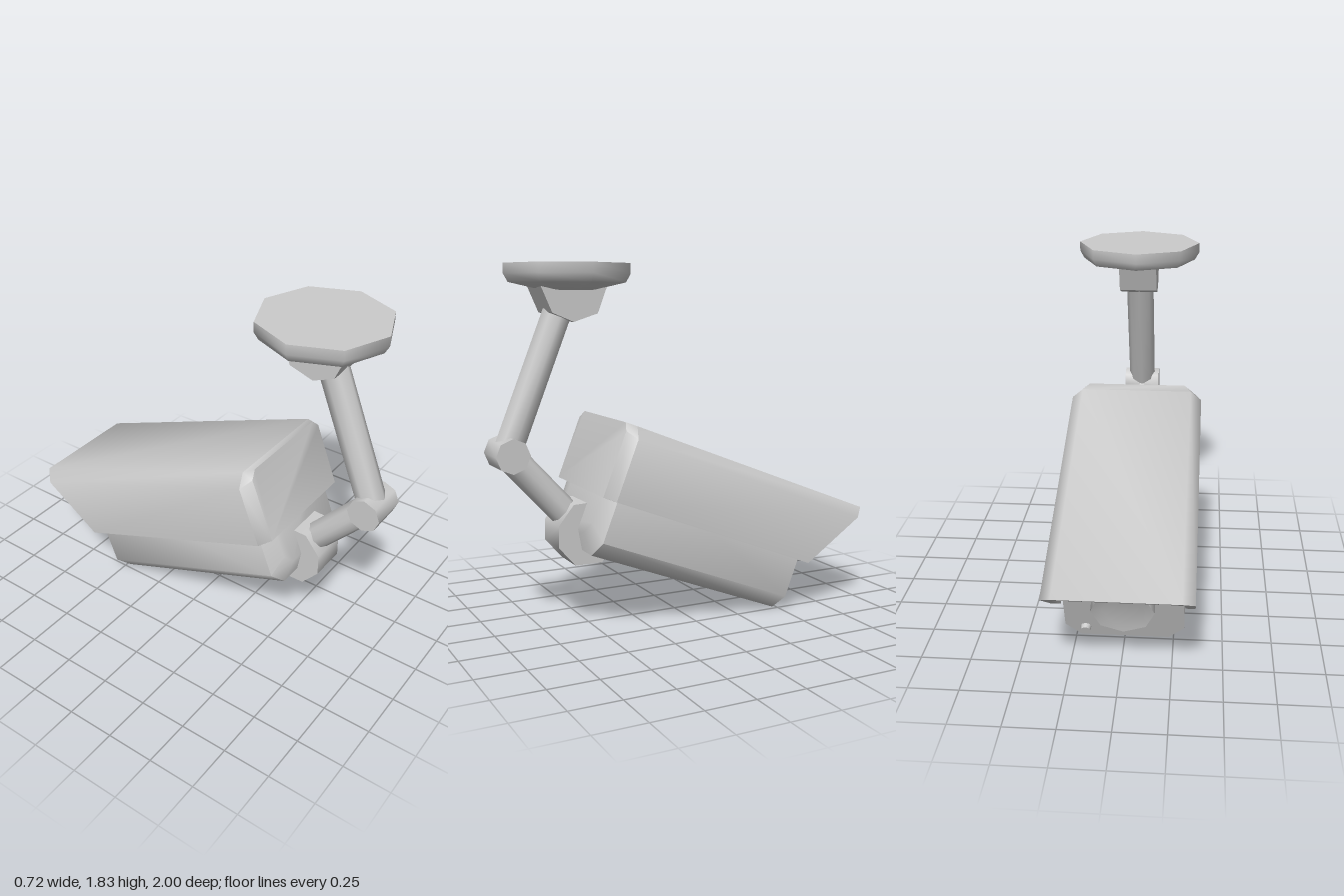
import * as THREE from 'three';
import { toCreasedNormals } from 'three/addons/utils/BufferGeometryUtils.js';

const material = new THREE.MeshStandardMaterial({ color: 0xcccccc });
const vectors = (points) => points.map(([x, y]) => new THREE.Vector2(x, y));

function add(parent, name, geometry, crease = 0.9) {
  const mesh = new THREE.Mesh(toCreasedNormals(geometry, crease), material);
  mesh.name = name;
  parent.add(mesh);
  return mesh;
}

// Side profile given as [z, y], extruded symmetrically across x
function sidePlate(points, width) {
  const geometry = new THREE.ExtrudeGeometry(new THREE.Shape(vectors(points)), { depth: width, bevelEnabled: false });
  return geometry.translate(0, 0, -width / 2).rotateY(-Math.PI / 2);
}

// Round rod between two [z, y] points in the middle plane
function rod(from, to, radius) {
  const a = new THREE.Vector3(0, from[1], from[0]);
  const b = new THREE.Vector3(0, to[1], to[0]);
  const dir = b.clone().sub(a);
  const geometry = new THREE.CylinderGeometry(radius, radius, dir.length(), 8);
  const turn = new THREE.Quaternion().setFromUnitVectors(new THREE.Vector3(0, 1, 0), dir.normalize());
  return geometry.applyQuaternion(turn).translate(0, (a.y + b.y) / 2, (a.z + b.z) / 2);
}

// Rectangle with cut corners, counter-clockwise
function cutRect(w, bottom, top, cutBottom, cutTop) {
  return [
    [-w + cutBottom, bottom], [w - cutBottom, bottom], [w, bottom + cutBottom], [w, top - cutTop],
    [w - cutTop, top], [-w + cutTop, top], [-w, top - cutTop], [-w, bottom + cutBottom],
  ];
}

// Closed solid through convex sections, ordered from high z to low z
function loft(sections) {
  const n = sections[0].points.length;
  const positions = sections.flatMap(({ z, points }) => points.flatMap(([x, y]) => [x, y, z]));
  const index = [];
  for (let i = 0; i < sections.length - 1; i++) {
    for (let j = 0; j < n; j++) {
      const a = i * n + j, b = i * n + (j + 1) % n;
      index.push(a, a + n, b, b, a + n, b + n);
    }
  }
  const last = (sections.length - 1) * n;
  for (let j = 1; j < n - 1; j++) {
    index.push(0, j, j + 1, last, last + j + 1, last + j);
  }
  const geometry = new THREE.BufferGeometry();
  geometry.setAttribute('position', new THREE.Float32BufferAttribute(positions, 3));
  geometry.setIndex(index);
  return geometry;
}

// Sun hood: open channel with a slanted front rim and a tapered back wall
function addHood(parent) {
  const w = 0.36, low = -0.378, cut = 0.06, inner = 0.31, roof = -0.055, length = 1.504;
  const channel = new THREE.Shape(vectors([
    [-w, low], [-inner, low], [-inner, roof - 0.05], [-inner + 0.05, roof],
    [inner - 0.05, roof], [inner, roof - 0.05], [inner, low], [w, low],
    [w, -cut], [w - cut, 0], [-w + cut, 0], [-w, -cut],
  ]));
  const shell = new THREE.ExtrudeGeometry(channel, { depth: length - 0.05, bevelEnabled: false });
  shell.translate(0, 0, -length);
  const p = shell.attributes.position;
  for (let i = 0; i < p.count; i++) {
    if (p.getZ(i) < -1) p.setZ(i, -(length + 0.69 * p.getY(i)));
  }
  add(parent, 'hood', shell);

  add(parent, 'hoodBack', loft([
    { z: 0, points: cutRect(0.305, low, 0, 0.001, 0.04) },
    { z: -0.05, points: cutRect(w, low, 0, 0.001, cut) },
  ]));
}

export function createModel() {
  const model = new THREE.Group();

  // Ceiling plate
  const plate = new THREE.LatheGeometry(vectors([
    [0, 1.7], [0.13, 1.702], [0.305, 1.74], [0.328, 1.78], [0.328, 1.83], [0, 1.83],
  ]), 8);
  add(model, 'ceilingPlate', plate.translate(0, 0, 0.585));

  // Mounting arm
  add(model, 'ceilingBracket', sidePlate([
    [0.42, 1.72], [0.47, 1.59], [0.595, 1.55], [0.705, 1.595], [0.76, 1.72],
  ], 0.2), 0.4);
  add(model, 'upperArm', rod([0.622, 1.65], [0.914, 0.915], 0.075));
  const joint = new THREE.CylinderGeometry(0.087, 0.087, 0.2, 8);
  add(model, 'elbowJoint', joint.rotateZ(Math.PI / 2).translate(0, 0.913, 0.913));
  add(model, 'lowerArm', rod([0.914, 0.915], [0.58, 0.55], 0.073));
  add(model, 'rearBracket', sidePlate([
    [0.46, 0.34], [0.605, 0.34], [0.692, 0.44], [0.69, 0.55], [0.61, 0.65], [0.5, 0.655], [0.42, 0.42],
  ], 0.2));

  // Tilted camera head: local -z points out of the lens, origin at the top back edge
  const head = new THREE.Group();
  head.name = 'cameraHead';
  head.position.set(0, 1.07, 0.4);
  head.rotation.x = -0.374;
  model.add(head);

  addHood(head);

  const full = cutRect(0.305, -0.67, -0.095, 0.08, 0.08);
  add(head, 'body', loft([
    { z: -0.022, points: cutRect(0.235, -0.575, -0.18, 0.06, 0.06) },
    { z: -0.08, points: full },
    { z: -1.21, points: full },
  ]));

  const lens = new THREE.LatheGeometry(vectors([
    [0.16, -0.02], [0.16, 0.07], [0.1, 0.06], [0, 0.06],
  ]), 8);
  add(head, 'lens', lens.rotateX(-Math.PI / 2).translate(0, -0.38, -1.21));

  const lamp = new THREE.CylinderGeometry(0.025, 0.03, 0.04, 8);
  add(head, 'indicatorLamp', lamp.rotateX(-Math.PI / 2).translate(0.2, -0.605, -1.215));

  return model;
}
